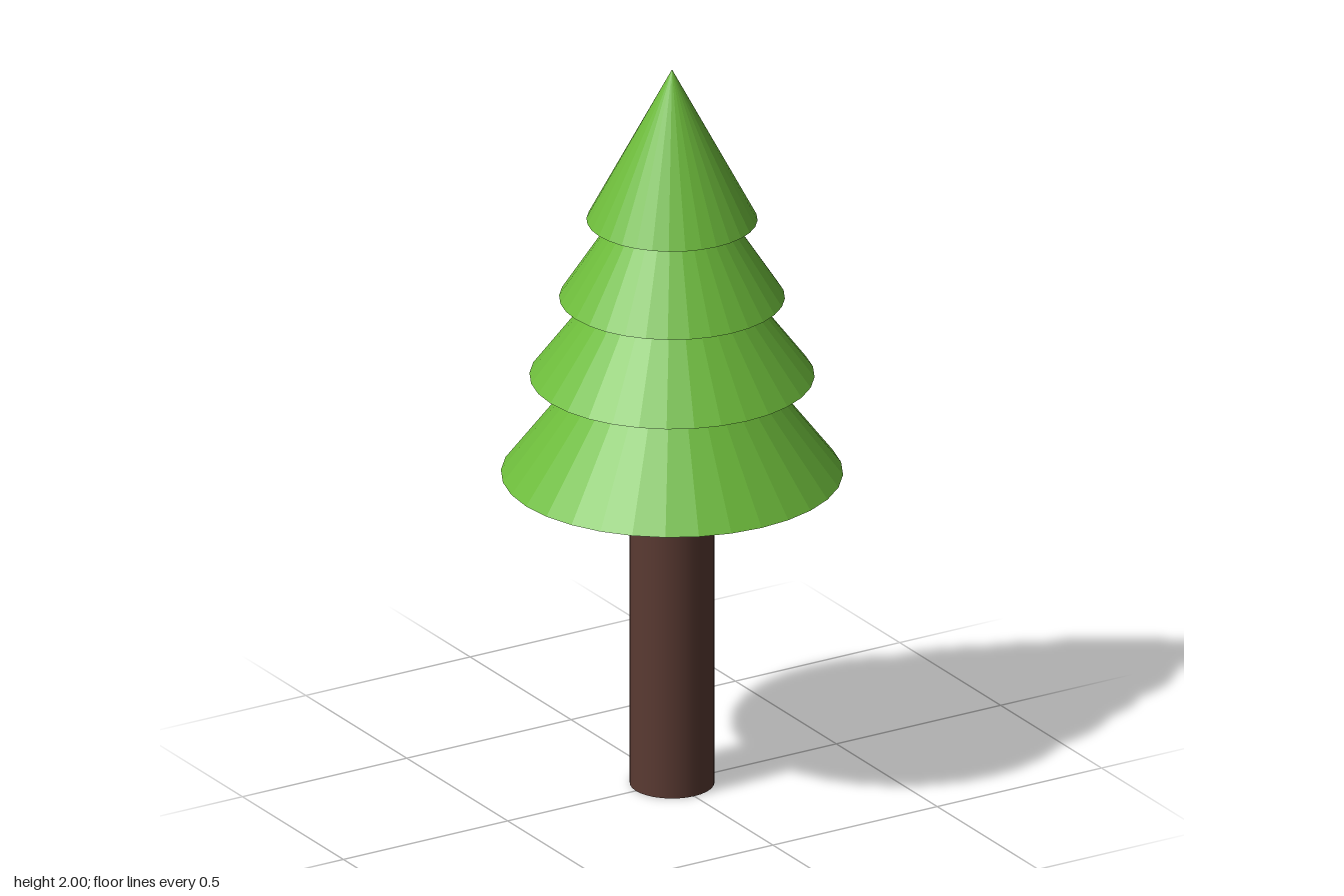
import * as THREE from 'three';

const SIDES = 32;

export function createModel() {
  const tree = new THREE.Group();
  tree.name = 'pineTree';

  const leafGreen = new THREE.MeshStandardMaterial({ color: 0x6dbb3b, flatShading: true });
  leafGreen.name = 'leaf green';
  const barkBrown = new THREE.MeshStandardMaterial({ color: 0x5a3a32 });
  barkBrown.name = 'bark brown';

  // Trunk, running a little way into the lowest tier
  const trunkHeight = 0.95;
  const trunk = new THREE.Mesh(new THREE.CylinderGeometry(0.11, 0.11, trunkHeight, SIDES), barkBrown);
  trunk.name = 'trunk';
  trunk.position.y = trunkHeight / 2;
  tree.add(trunk);

  // Four stacked foliage cones: base height, radius, cone height
  const tiers = [
    [0.87, 0.444, 0.58],
    [1.143, 0.37, 0.49],
    [1.362, 0.293, 0.45],
    [1.58, 0.222, 0.42],
  ];
  tiers.forEach(([base, radius, height], i) => {
    const tier = new THREE.Mesh(new THREE.ConeGeometry(radius, height, SIDES), leafGreen);
    tier.name = `foliageTier${i + 1}`;
    tier.position.y = base + height / 2;
    tree.add(tier);
  });

  return tree;
}
